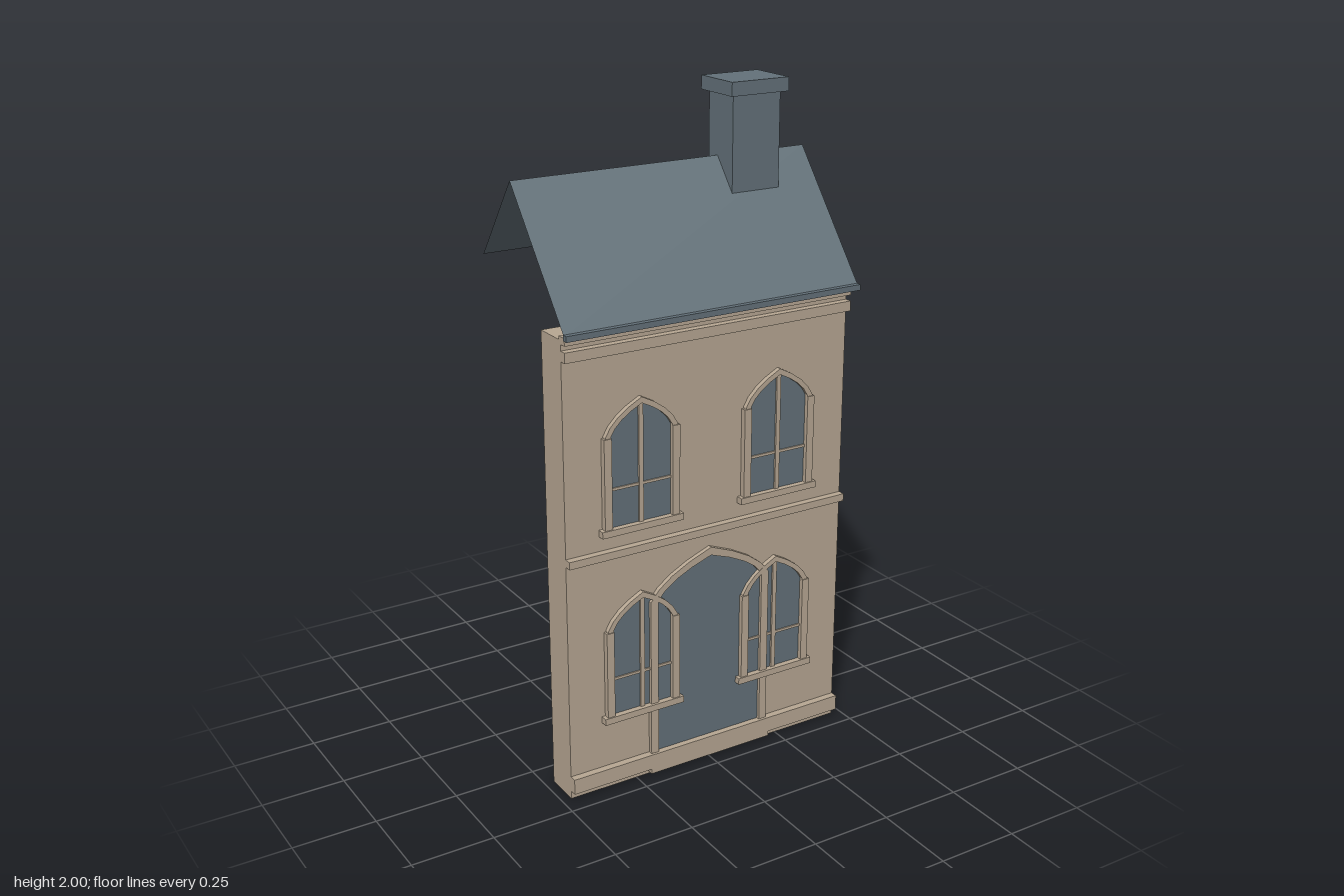
import * as THREE from 'three';

const stone = new THREE.MeshStandardMaterial({ color: 0xb8a894 });
stone.name = 'sandstone';
const slate = new THREE.MeshStandardMaterial({ color: 0x64727a });
slate.name = 'slate';
const roofSlate = new THREE.MeshStandardMaterial({ color: 0x64727a, side: THREE.DoubleSide });
roofSlate.name = 'roof slate';

const WALL_FRONT = 0.19;

// Box given by its limits on each axis
function box(parent, name, material, [x0, x1], [y0, y1], [z0, z1]) {
  const mesh = new THREE.Mesh(new THREE.BoxGeometry(x1 - x0, y1 - y0, z1 - z0), material);
  mesh.position.set((x0 + x1) / 2, (y0 + y1) / 2, (z0 + z1) / 2);
  mesh.name = name;
  parent.add(mesh);
  return mesh;
}

// Outline of a pointed arch standing on a rectangle
function archOutline(shape, half, bottom, spring, apex) {
  const bend = spring + (apex - spring) * 0.56;
  shape.moveTo(-half, bottom);
  shape.lineTo(half, bottom);
  shape.lineTo(half, spring);
  shape.quadraticCurveTo(half * 0.8, bend, 0, apex);
  shape.quadraticCurveTo(-half * 0.8, bend, -half, spring);
  shape.closePath();
  return shape;
}

function extrude(parent, name, material, shape, z0, z1) {
  const geometry = new THREE.ExtrudeGeometry(shape, { depth: z1 - z0, bevelEnabled: false, curveSegments: 4 });
  const mesh = new THREE.Mesh(geometry, material);
  mesh.position.z = z0;
  mesh.name = name;
  parent.add(mesh);
}

// Pane plus surrounding frame, open at the bottom
function archedOpening(parent, name, half, bottom, spring, apex, width, paneZ, frameZ) {
  extrude(parent, name + 'Pane', slate,
    archOutline(new THREE.Shape(), half, bottom, spring, apex), WALL_FRONT, paneZ);
  const frame = archOutline(new THREE.Shape(), half + width, bottom, spring, apex + width);
  frame.holes.push(archOutline(new THREE.Path(), half, bottom + 0.001, spring, apex));
  extrude(parent, name + 'Frame', stone, frame, WALL_FRONT, frameZ);
}

function createWindow(x, y) {
  const g = new THREE.Group();
  g.name = 'window';
  g.position.set(x, y, 0);
  archedOpening(g, 'window', 0.098, 0.015, 0.295, 0.375, 0.018, 0.194, 0.205);
  for (const s of [-1, 1]) {
    box(g, 'jamb', stone, [s * 0.11 - 0.012, s * 0.11 + 0.012], [0.02, 0.29], [WALL_FRONT, 0.208]);
  }
  box(g, 'sill', stone, [-0.133, 0.133], [0, 0.02], [WALL_FRONT, 0.212]);
  box(g, 'mullion', stone, [-0.007, 0.007], [0.02, 0.373], [WALL_FRONT, 0.2]);
  box(g, 'glazingBar', stone, [-0.098, 0.098], [0.131, 0.139], [WALL_FRONT, 0.198]);
  return g;
}

// Two open slopes meeting at the ridge
function createRoof() {
  const g = new THREE.Group();
  g.name = 'roof';
  const slope = (name, x0, x1, z0, y0, z1, y1) => {
    const geometry = new THREE.BufferGeometry();
    geometry.setAttribute('position', new THREE.Float32BufferAttribute(
      [x0, y0, z0, x1, y0, z0, x1, y1, z1, x0, y1, z1], 3));
    geometry.setIndex([0, 1, 2, 0, 2, 3]);
    geometry.computeVertexNormals();
    const mesh = new THREE.Mesh(geometry, roofSlate);
    mesh.name = name;
    g.add(mesh);
  };
  slope('frontSlope', -0.48, 0.48, 0.23, 1.42, -0.06, 1.78);
  slope('backSlope', 0.48, -0.48, -0.24, 1.54, -0.06, 1.78);
  box(g, 'gutter', slate, [-0.48, 0.48], [1.408, 1.425], [0.225, 0.242]);
  return g;
}

export function createModel() {
  const house = new THREE.Group();
  house.name = 'townHouse';

  // Wall slab and horizontal mouldings
  box(house, 'wall', stone, [-0.47, 0.47], [0, 1.4], [0.08, WALL_FRONT]);
  box(house, 'topCornice', stone, [-0.47, 0.47], [1.388, 1.41], [0.18, 0.212]);
  box(house, 'lowerCornice', stone, [-0.47, 0.47], [1.34, 1.37], [0.185, 0.212]);
  box(house, 'floorBand', stone, [-0.47, 0.47], [0.742, 0.765], [0.185, 0.212]);
  for (const s of [-1, 1]) {
    box(house, 'plinth', stone, [s * 0.34 - 0.13, s * 0.34 + 0.13], [0.025, 0.073], [0.18, 0.212]);
  }
  box(house, 'doorStep', stone, [-0.21, 0.21], [0.01, 0.073], [0.18, 0.212]);

  // Doorway
  const door = new THREE.Group();
  door.name = 'doorway';
  archedOpening(door, 'door', 0.18, 0.07, 0.57, 0.672, 0.025, 0.193, 0.204);
  house.add(door);

  // Windows on both floors
  for (const y of [0.22, 0.81]) {
    for (const x of [-0.231, 0.231]) house.add(createWindow(x, y));
  }

  house.add(createRoof());

  // Chimney
  const chimney = new THREE.Group();
  chimney.name = 'chimney';
  box(chimney, 'chimneyStack', slate, [0.182, 0.342], [1.6, 1.96], [-0.105, 0.018]);
  box(chimney, 'chimneyCap', slate, [0.166, 0.358], [1.96, 2], [-0.123, 0.036]);
  house.add(chimney);

  return house;
}
